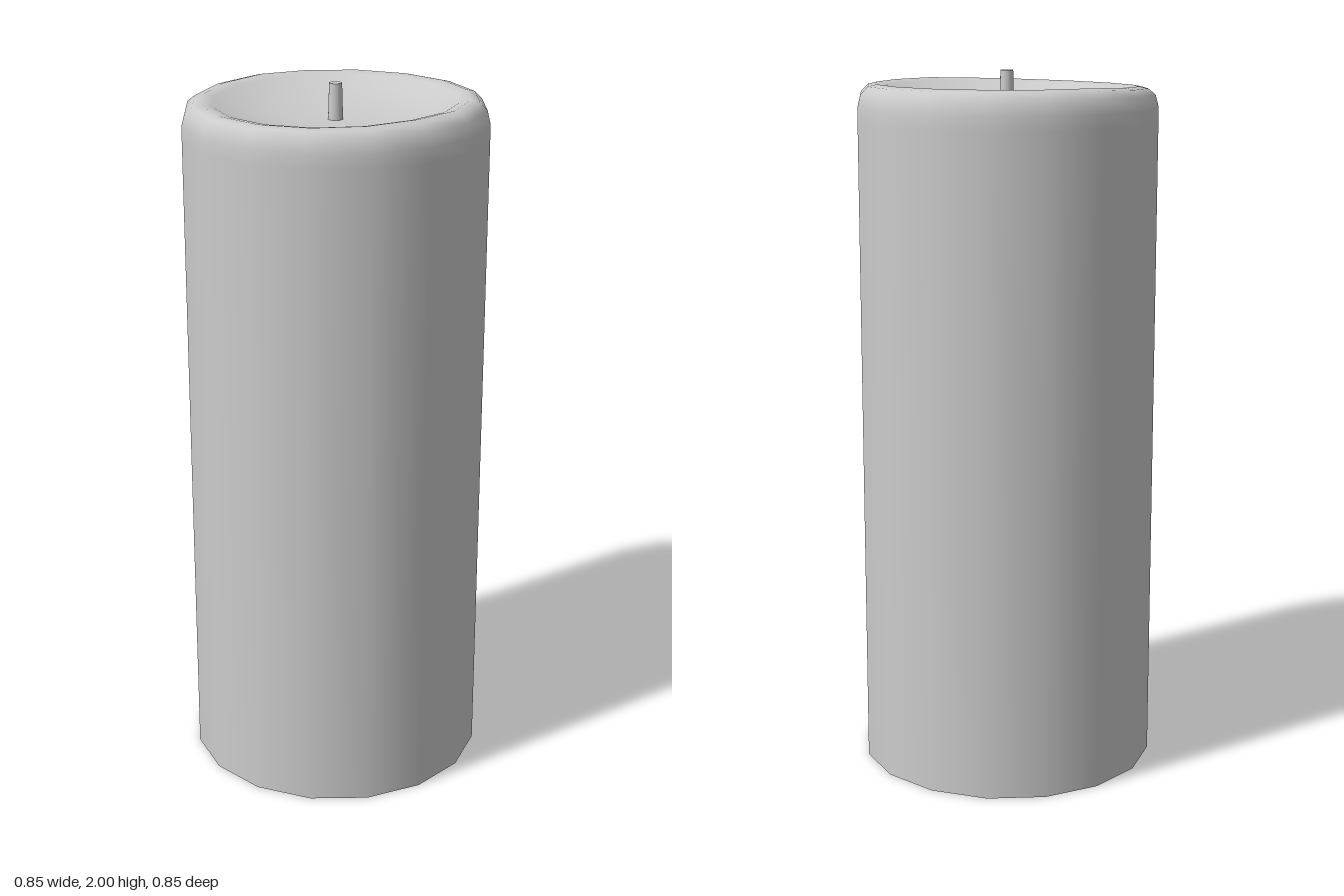
import * as THREE from 'three';

const SIDES = 16;

// Turns [radius, height] pairs around the y axis
function lathe(name, profile, sides, material) {
  const points = profile.map(([r, y]) => new THREE.Vector2(r, y));
  const mesh = new THREE.Mesh(new THREE.LatheGeometry(points, sides), material);
  mesh.name = name;
  return mesh;
}

export function createModel() {
  const model = new THREE.Group();
  model.name = 'candle';
  const material = new THREE.MeshStandardMaterial({ color: 0xcccccc, side: THREE.DoubleSide });

  // Wax body: open below, rounded rim, shallow melted bowl on top
  const wax = lathe('waxBody', [
    [0.425, 0], [0.425, 1.86], [0.425, 1.9], [0.416, 1.938], [0.395, 1.959],
    [0.37, 1.965], [0.34, 1.958], [0.29, 1.934], [0.2, 1.912], [0.1, 1.902], [0, 1.9],
  ], SIDES, material);

  // The rim has melted slightly lower towards the front
  const pos = wax.geometry.attributes.position;
  for (let i = 0; i < pos.count; i++) {
    const x = pos.getX(i), y = pos.getY(i), z = pos.getZ(i);
    const r = Math.hypot(x, z);
    if (r < 0.25 || y < 1.92) continue;
    const front = Math.max(0, z / r);
    pos.setY(i, y - 0.012 * front * (y - 1.92) / 0.045);
  }
  model.add(wax);

  // Wick: slightly tapered, standing in the bowl
  model.add(lathe('wick', [[0.021, 1.895], [0.018, 2]], SIDES, material));
  const tip = new THREE.Mesh(new THREE.CircleGeometry(0.018, SIDES), material);
  tip.name = 'wickTip';
  tip.rotation.x = -Math.PI / 2;
  tip.position.y = 2;
  model.add(tip);

  return model;
}
